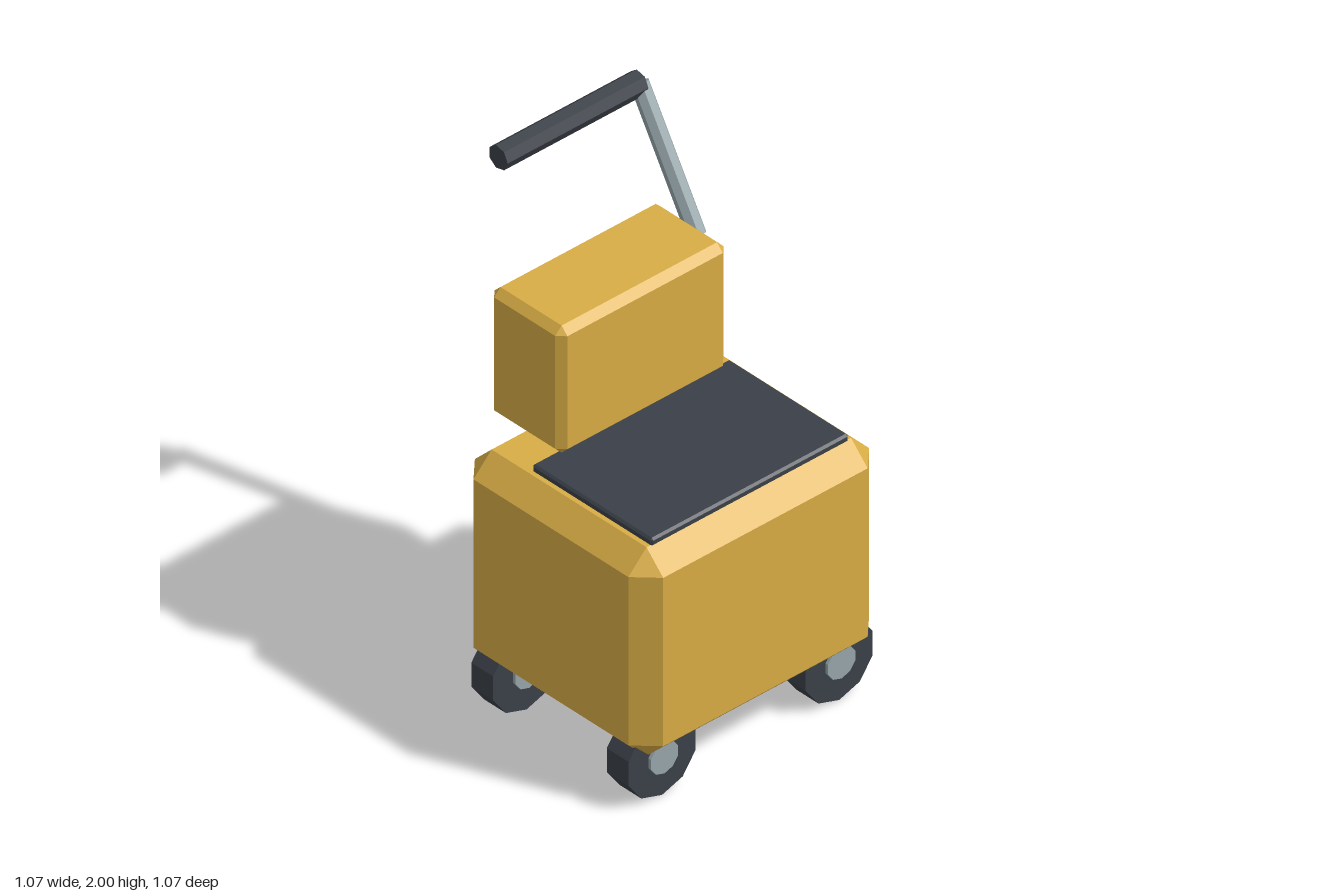
import * as THREE from 'three';
import { ConvexGeometry } from 'three/addons/geometries/ConvexGeometry.js';

const flat = (name, color) => {
  const m = new THREE.MeshStandardMaterial({ color });
  m.name = name;
  return m;
};

// Box with every edge cut at 45 degrees, given by its min and max corners
function chamferBox(min, max, c) {
  const mid = min.map((v, i) => (v + max[i]) / 2);
  const half = min.map((v, i) => (max[i] - v) / 2);
  const pts = [];
  for (const sx of [-1, 1]) for (const sy of [-1, 1]) for (const sz of [-1, 1])
    for (let full = 0; full < 3; full++) {
      const p = [sx, sy, sz].map((s, i) => mid[i] + s * (half[i] - (i === full ? 0 : c)));
      pts.push(new THREE.Vector3(...p));
    }
  return new ConvexGeometry(pts);
}

// Faceted rod between two points
function rod(a, b, r, sides) {
  const dir = b.clone().sub(a);
  const g = new THREE.CylinderGeometry(r, r, dir.length(), sides).toNonIndexed();
  g.applyQuaternion(new THREE.Quaternion().setFromUnitVectors(
    new THREE.Vector3(0, 1, 0), dir.normalize()));
  g.translate((a.x + b.x) / 2, (a.y + b.y) / 2, (a.z + b.z) / 2);
  g.computeVertexNormals();
  return g;
}

export function createModel() {
  const model = new THREE.Group();
  model.name = 'wheeledCart';
  const yellow = flat('yellow paint', 0xd9ad45);
  const dark = flat('dark rubber', 0x3b4048);
  const steel = flat('steel', 0x97a6ab);
  const add = (name, geometry, material, parent = model) => {
    const mesh = new THREE.Mesh(geometry, material);
    mesh.name = name;
    parent.add(mesh);
  };
  const V = (x, y, z) => new THREE.Vector3(x, y, z);

  // Body, dark top pad and upper box
  add('body', chamferBox([-0.53, 0.18, -0.365], [0.53, 1.01, 0.535], 0.08), yellow);
  add('topPad', chamferBox([-0.435, 1.005, -0.11], [0.435, 1.037, 0.463], 0.008), dark);
  add('upperBox', chamferBox([-0.37, 1.06, -0.388], [0.37, 1.565, -0.04], 0.028), yellow);

  // Handle: slanted arm on the left and a sideways grip
  add('handleArm', rod(V(0.39, 1.957, -0.49), V(0.39, 1.495, -0.215), 0.034, 7), steel);
  add('handleGrip', rod(V(-0.23, 1.956, -0.493), V(0.39, 1.956, -0.493), 0.046, 7), dark);

  // Four wheels, each with a hub on its front face
  for (const [side, x] of [['left', 0.39], ['right', -0.39]])
    for (const [end, z] of [['Front', 0.412], ['Back', -0.235]]) {
      const wheel = new THREE.Group();
      wheel.name = side + end + 'Wheel';
      wheel.position.set(x, 0.155, z);
      add('tyre', rod(V(0, 0, -0.052), V(0, 0, 0.052), 0.155, 10), dark, wheel);
      add('hub', rod(V(0, 0, -0.03), V(0, 0, 0.064), 0.063, 10), steel, wheel);
      model.add(wheel);
    }
  return model;
}
